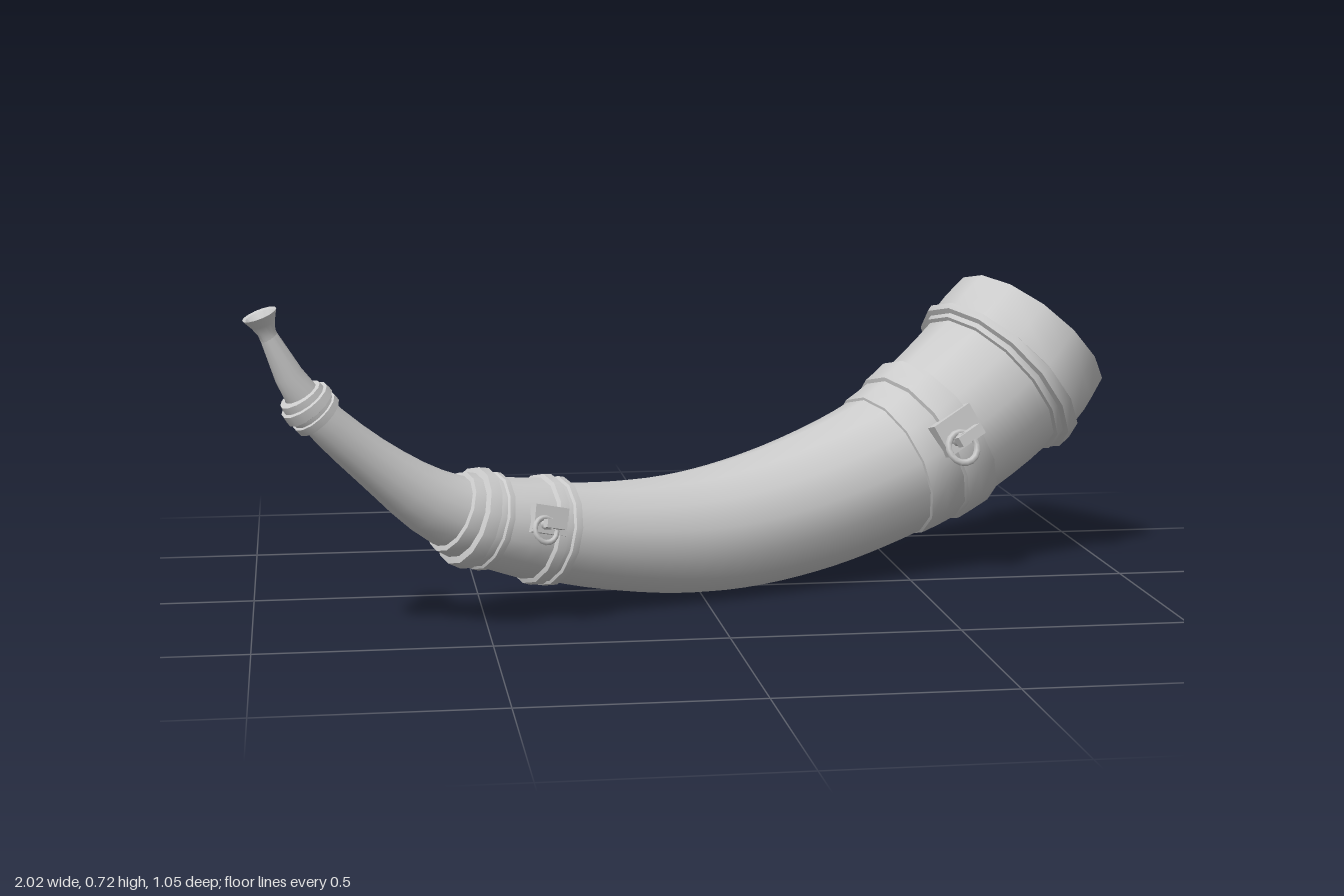
import * as THREE from 'three';
import { toCreasedNormals } from 'three/addons/utils/BufferGeometryUtils.js';

const TURN = 0.42;            // horn plane is turned about y
const C = Math.cos(TURN);
const SIDES = 14;

// Spine of the horn: distance along, height, radius
const spine = new THREE.CatmullRomCurve3([
  [-0.965, 0.705, 0.017], [-0.95, 0.665, 0.018], [-0.91, 0.578, 0.03], [-0.87, 0.51, 0.04],
  [-0.73, 0.37, 0.054], [-0.58, 0.258, 0.079], [-0.36, 0.188, 0.107], [-0.19, 0.157, 0.124],
  [0.02, 0.146, 0.144], [0.25, 0.178, 0.16], [0.48, 0.25, 0.174], [0.61, 0.318, 0.19],
  [0.77, 0.435, 0.204], [0.86, 0.53, 0.205],
].map(([x, y, r]) => new THREE.Vector3(x / C, y, r)));

// Frame of the spine at a station x
function frameAt(x) {
  let lo = 0, hi = 1;
  for (let i = 0; i < 30; i++) {
    const mid = (lo + hi) / 2;
    if (spine.getPoint(mid).x < x / C) lo = mid; else hi = mid;
  }
  const p = spine.getPoint(lo), d = spine.getTangent(lo);
  const tangent = new THREE.Vector3(d.x, d.y, 0).normalize();
  return {
    centre: new THREE.Vector3(p.x, p.y, 0), radius: p.z, tangent,
    normal: new THREE.Vector3(-tangent.y, tangent.x, 0),
  };
}

// Round sweep along the spine through [station, radius] pairs
function sweep(profile) {
  const pos = [], idx = [];
  profile.forEach(([x, r], i) => {
    const f = frameAt(x);
    for (let j = 0; j < SIDES; j++) {
      const a = j / SIDES * Math.PI * 2;
      const p = f.centre.clone().addScaledVector(f.normal, r * Math.cos(a));
      pos.push(p.x, p.y, r * Math.sin(a));
      if (i === 0) continue;
      const k = (j + 1) % SIDES, a0 = (i - 1) * SIDES, b0 = i * SIDES;
      idx.push(a0 + j, a0 + k, b0 + j, a0 + k, b0 + k, b0 + j);
    }
  });
  const g = new THREE.BufferGeometry();
  g.setAttribute('position', new THREE.Float32BufferAttribute(pos, 3));
  g.setIndex(idx);
  return toCreasedNormals(g, 0.6);
}

export function createModel() {
  const model = new THREE.Group();
  model.name = 'horn';
  model.rotation.y = TURN;
  model.position.z = 0.06;
  const mat = new THREE.MeshStandardMaterial({ color: 0xcccccc });
  const add = (parent, name, geometry) => {
    const m = new THREE.Mesh(geometry, mat);
    m.name = name;
    parent.add(m);
    return m;
  };

  // Curved, tapering body
  const body = [];
  for (let i = 0; i <= 44; i++) {
    const x = -0.95 + 1.78 * i / 44;
    body.push([x, frameAt(x).radius]);
  }
  add(model, 'hornBody', sweep(body));

  // Small flared mouthpiece with a hollow cup
  add(model, 'mouthpiece', sweep([
    [-0.951, 0.001], [-0.953, 0.012], [-0.964, 0.031], [-0.965, 0.037],
    [-0.958, 0.026], [-0.951, 0.019], [-0.946, 0.019], [-0.945, 0.017],
  ]));

  // Metal bands, each a stepped profile
  add(model, 'mouthpieceRing', sweep([
    [-0.888, 0.034], [-0.887, 0.047], [-0.88, 0.049], [-0.879, 0.056], [-0.868, 0.058],
    [-0.866, 0.05], [-0.861, 0.05], [-0.86, 0.055], [-0.85, 0.055], [-0.848, 0.038],
  ]));
  add(model, 'narrowBand', sweep([
    [-0.575, 0.078], [-0.573, 0.09], [-0.55, 0.094], [-0.547, 0.108], [-0.523, 0.112],
    [-0.519, 0.1], [-0.505, 0.103], [-0.502, 0.108], [-0.49, 0.108], [-0.487, 0.1],
    [-0.44, 0.106], [-0.397, 0.112], [-0.393, 0.121], [-0.375, 0.123], [-0.371, 0.114],
    [-0.362, 0.115], [-0.359, 0.121], [-0.345, 0.121], [-0.341, 0.106],
  ]));
  add(model, 'wideBand', sweep([
    [0.464, 0.17], [0.466, 0.179], [0.5, 0.183], [0.538, 0.187], [0.541, 0.196],
    [0.57, 0.199], [0.603, 0.203], [0.606, 0.186],
  ]));

  // Bell collar, rim and hollow inside
  add(model, 'bellRim', sweep([
    [0.745, 0.2], [0.747, 0.212], [0.758, 0.214], [0.761, 0.227], [0.779, 0.23], [0.784, 0.218],
    [0.82, 0.218], [0.858, 0.211], [0.8585, 0.165],
    [0.78, 0.163], [0.68, 0.158], [0.58, 0.15], [0.45, 0.138], [0.3, 0.118], [0.15, 0.08], [0.08, 0.001],
  ]));

  // Strap lugs on the front side: plate, stud and hanging ring
  [['narrowLug', -0.43, 0.109, 0.2, 0.75], ['wideLug', 0.545, 0.19, 0.27, 1]].forEach(([name, x, r, tilt, s]) => {
    const f = frameAt(x);
    const out = new THREE.Vector3(0, 0, Math.cos(tilt)).addScaledVector(f.normal, Math.sin(tilt));
    const up = out.clone().cross(f.tangent);
    const lug = new THREE.Group();
    lug.name = name;
    lug.matrixAutoUpdate = true;
    lug.quaternion.setFromRotationMatrix(new THREE.Matrix4().makeBasis(f.tangent, up, out));
    lug.position.copy(f.centre).addScaledVector(out, r);
    lug.scale.setScalar(s);
    model.add(lug);
    add(lug, 'plate', new THREE.BoxGeometry(0.11, 0.08, 0.03)).position.set(0.02, 0.015, 0);
    const stud = add(lug, 'stud', new THREE.CylinderGeometry(0.015, 0.015, 0.05, 8));
    stud.rotation.x = Math.PI / 2;
    stud.position.z = 0.03;
    add(lug, 'hook', new THREE.BoxGeometry(0.065, 0.024, 0.022)).position.set(0.012, 0, 0.052);
    const ring = add(lug, 'hangingRing', new THREE.TorusGeometry(0.036, 0.008, 6, 16));
    ring.position.set(-0.008, -0.018, 0.036);
    ring.rotation.x = -0.15;
  });

  const group = new THREE.Group();
  group.add(model);
  return group;
}
